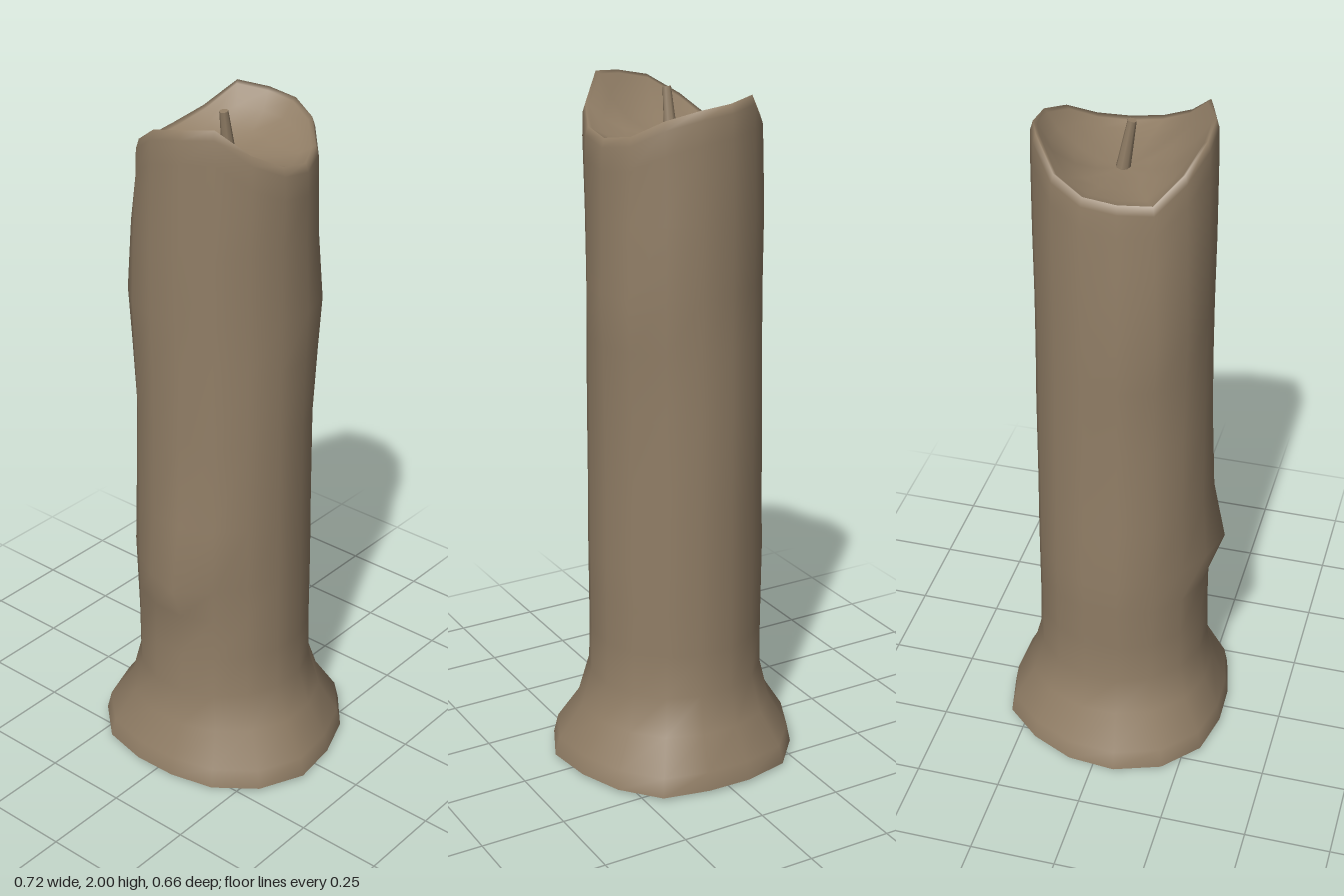
import * as THREE from 'three';

const SIDES = 16;
const START = THREE.MathUtils.degToRad(10.5);
const STEP = (Math.PI * 2) / SIDES;

// Per-side values, going round from the front towards +x
const FOOT = [.33, .35, .366, .37, .35, .352, .362, .335, .337, .36, .35, .355, .366, .372, .362, .335];
const RIM = [1.99, 2.0, 1.93, 1.885, 1.87, 1.885, 1.93, 1.955, 1.965, 1.975, 1.905, 1.87, 1.86, 1.85, 1.915, 1.97];

// Wax drips: side index, height, bulge, reach down, reach up, reach in sides
const DRIPS = [
  [0, .64, .045, .11, .25, 1.5],
  [12, .65, .018, .4, .45, 2.5],
  [5, 1.45, .024, .35, .3, 2.5],
  [13, 1.45, .022, .35, .3, 2.5],
];

function dripBulge(i, y) {
  let sum = 0;
  for (const [side, h, size, down, up, reach] of DRIPS) {
    const d = Math.abs(i - side);
    const a = Math.max(0, 1 - Math.min(d, SIDES - d) / reach);
    const v = Math.max(0, 1 - Math.abs(y - h) / (y < h ? down : up));
    sum += size * a * v;
  }
  return sum;
}

// Point on side i at radius r and height y
const at = (i, r, y, cx = 0, cz = 0) => {
  const a = START + i * STEP;
  return [cx + Math.sin(a) * r, y, cz + Math.cos(a) * r];
};

// Skins rings from bottom to top; an optional end point closes the last ring
function skin(rings, tip) {
  const pos = rings.flat(2);
  const index = [];
  for (let k = 0; k < rings.length - 1; k++) {
    for (let i = 0; i < SIDES; i++) {
      const j = (i + 1) % SIDES;
      const a = k * SIDES + i, b = k * SIDES + j;
      index.push(a, b, b + SIDES, a, b + SIDES, a + SIDES);
    }
  }
  if (tip) {
    const t = pos.length / 3, base = (rings.length - 1) * SIDES;
    pos.push(...tip);
    for (let i = 0; i < SIDES; i++) index.push(base + i, base + (i + 1) % SIDES, t);
  }
  const geo = new THREE.BufferGeometry();
  geo.setAttribute('position', new THREE.Float32BufferAttribute(pos, 3));
  geo.setIndex(index);
  geo.computeVertexNormals();
  return geo;
}

const ring = (fn) => Array.from({ length: SIDES }, (_, i) => fn(i));

export function createModel() {
  const group = new THREE.Group();
  const wax = new THREE.MeshStandardMaterial({ color: 0x917e66 });
  wax.name = 'tan wax';

  const add = (name, geo) => {
    const mesh = new THREE.Mesh(geo, wax);
    mesh.name = name;
    group.add(mesh);
    return mesh;
  };

  // Flared foot, column and wavy rim, running over into the melted hollow
  const rings = [];
  for (const [y, flare] of [[.01, 1], [.065, .88], [.16, .28]]) {
    rings.push(ring((i) => at(i, THREE.MathUtils.lerp(.256, FOOT[i], flare), y)));
  }
  for (const [y, r] of [[.27, .255], [.4, .252], [.53, .252], [.64, .252], [.83, .25],
    [1.1, .249], [1.3, .246], [1.45, .245], [1.65, .246]]) {
    rings.push(ring((i) => at(i, r + dripBulge(i, y), y, -.003, .005)));
  }
  for (const [drop, r] of [[.09, .245], [.025, .243], [0, .235], [.008, .224]]) {
    rings.push(ring((i) => at(i, r, RIM[i] - drop, .003, .003)));
  }
  for (const [r, keep] of [[.19, .62], [.13, .25], [.07, .06]]) {
    rings.push(ring((i) => at(i, r, THREE.MathUtils.lerp(1.84, RIM[i] - .01, keep), .005, 0)));
  }
  add('candleBody', skin(rings, [.005, 1.838, 0]));

  // Slightly domed underside
  const under = [
    ring((i) => at(i, .2, 0)),
    ring((i) => at(i, FOOT[i], .01)),
  ];
  const bottom = skin(under);
  const disc = new THREE.CircleGeometry(.2, SIDES, 0);
  disc.rotateX(Math.PI / 2);
  disc.rotateY(START);
  add('undersideEdge', bottom);
  add('underside', disc);

  // Short leaning wick
  const base = new THREE.Vector3(.01, 1.83, -.003);
  const tip = new THREE.Vector3(.01, 1.975, .022);
  const dir = tip.clone().sub(base);
  const wick = add('wick', new THREE.CylinderGeometry(.012, .02, dir.length(), 8));
  wick.position.copy(base).add(tip).multiplyScalar(.5);
  wick.quaternion.setFromUnitVectors(new THREE.Vector3(0, 1, 0), dir.normalize());

  return group;
}
